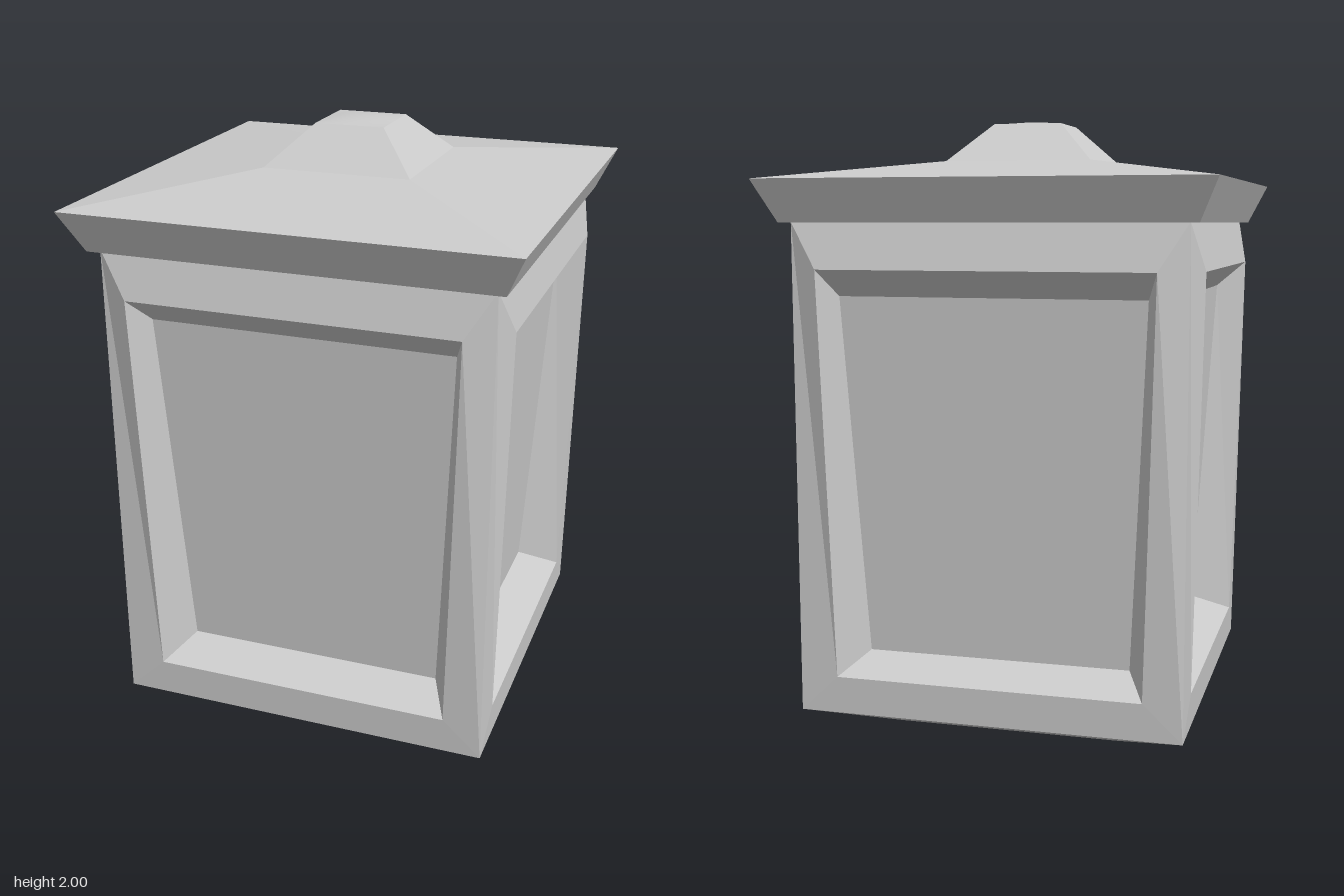
import * as THREE from 'three';

const material = new THREE.MeshStandardMaterial({ color: 0xcccccc, flatShading: true });

// Square solid swept from [half width, height] pairs, listed bottom to top
function squareLathe(name, profile) {
  const points = profile.map(([half, y]) => new THREE.Vector2(half * Math.SQRT2, y));
  const mesh = new THREE.Mesh(new THREE.LatheGeometry(points, 4, Math.PI / 4), material);
  mesh.name = name;
  return mesh;
}

// Four corners, counter-clockwise from the front, of a tapered and tilted frame
function frameLoop([bottomHalf, bottomY, bottomZ], [topHalf, topY, topZ]) {
  return [
    [-bottomHalf, bottomY, bottomZ], [bottomHalf, bottomY, bottomZ],
    [topHalf, topY, topZ], [-topHalf, topY, topZ],
  ];
}

// Joins nested loops with quads; the last loop is filled when capped
function loopSurface(loops, capped) {
  const positions = [];
  const quad = (a, b, c, d) => positions.push(...a, ...b, ...c, ...a, ...c, ...d);
  for (let k = 0; k < loops.length - 1; k++) {
    for (let i = 0; i < 4; i++) {
      const j = (i + 1) % 4;
      quad(loops[k][i], loops[k][j], loops[k + 1][j], loops[k + 1][i]);
    }
  }
  if (capped) quad(...loops[loops.length - 1]);
  const geometry = new THREE.BufferGeometry();
  geometry.setAttribute('position', new THREE.Float32BufferAttribute(positions, 3));
  geometry.computeVertexNormals();
  return geometry;
}

export function createModel() {
  const group = new THREE.Group();
  group.name = 'lantern';

  // Tapered foot with a flat underside
  group.add(squareLathe('base', [[0, 0], [0.37, 0], [0.62, 0.105]]));

  // Four identical sides: raised frame, bevelled recess and tilted pane
  const outer = frameLoop([0.62, 0.105, 0.62], [0.62, 1.67, 0.62]);
  const opening = frameLoop([0.495, 0.225, 0.625], [0.53, 1.525, 0.655]);
  const pane = frameLoop([0.43, 0.28, 0.488], [0.49, 1.44, 0.558]);
  const frameGeometry = loopSurface([outer, opening, pane], false);
  const paneGeometry = loopSurface([pane], true);
  for (let i = 0; i < 4; i++) {
    const side = new THREE.Group();
    side.name = 'side' + (i + 1);
    const frame = new THREE.Mesh(frameGeometry, material);
    frame.name = 'frame';
    const glass = new THREE.Mesh(paneGeometry, material);
    glass.name = 'pane';
    side.add(frame, glass);
    side.rotation.y = i * Math.PI / 2;
    group.add(side);
  }

  // Overhanging roof with flared eaves
  group.add(squareLathe('roof', [[0, 1.668], [0.65, 1.668], [0.712, 1.8], [0.24, 1.866]]));

  // Finial sides, closed by a gently domed top
  group.add(squareLathe('finial', [[0.24, 1.866], [0.113, 1.99]]));
  const half = 0.113;
  const domeGeometry = new THREE.PlaneGeometry(2 * half, 2 * half, 8, 8).rotateX(-Math.PI / 2);
  const p = domeGeometry.attributes.position;
  for (let i = 0; i < p.count; i++) {
    const u = p.getX(i) / half, v = p.getZ(i) / half;
    p.setY(i, 1.99 + 0.01 * (1 - u * u) * (1 - v * v));
  }
  domeGeometry.computeVertexNormals();
  const dome = new THREE.Mesh(domeGeometry, new THREE.MeshStandardMaterial({ color: 0xcccccc }));
  dome.name = 'finialTop';
  group.add(dome);

  return group;
}
